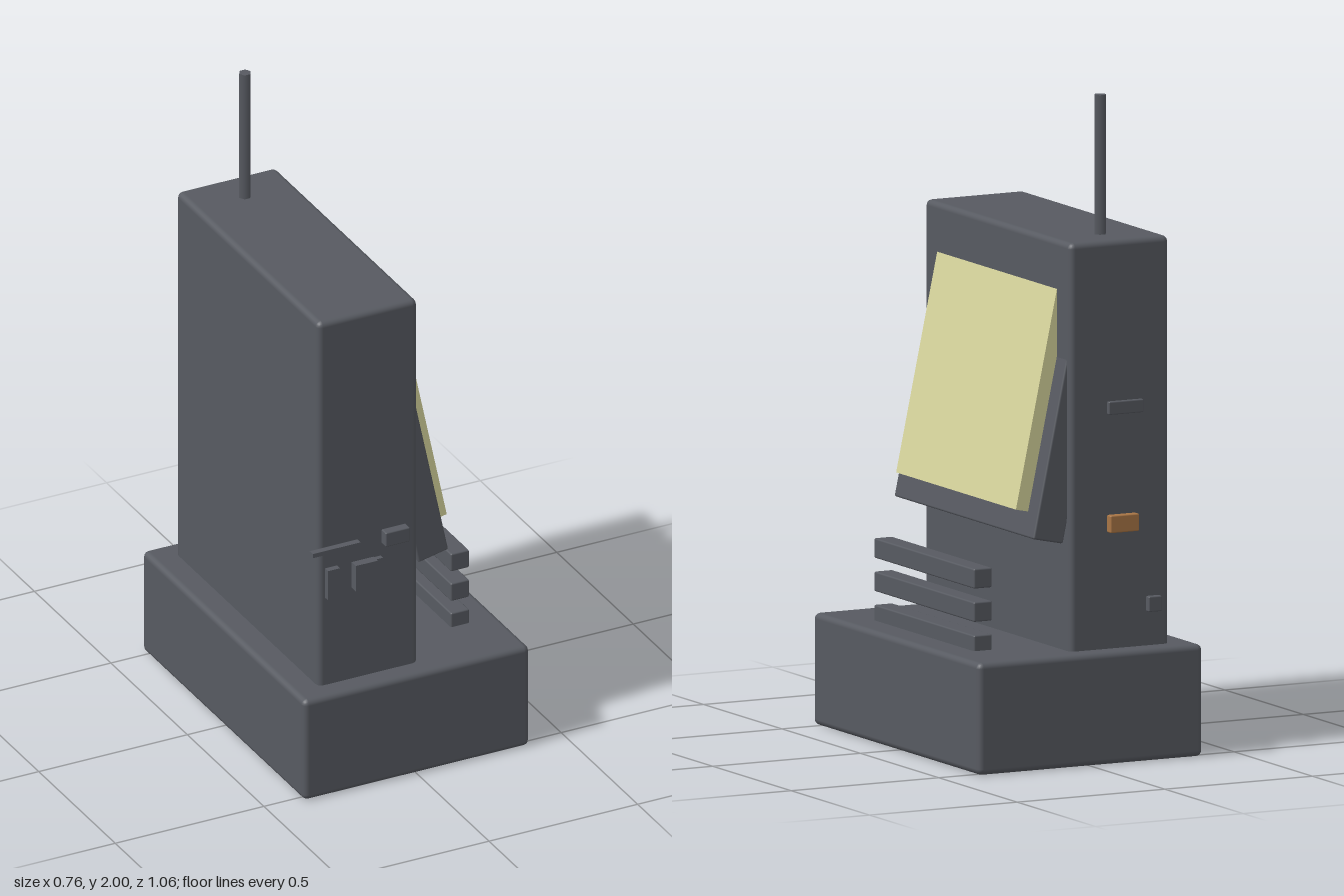
import * as THREE from 'three';
import { RoundedBoxGeometry } from 'three/addons/geometries/RoundedBoxGeometry.js';

export function createModel() {
  const model = new THREE.Group();
  model.name = 'deskTerminal';

  const mat = (name, color) => {
    const m = new THREE.MeshStandardMaterial({ color });
    m.name = name;
    return m;
  };
  const casing = mat('slate grey casing', 0x575a61);
  const glow = mat('pale yellow screen', 0xd8d69d);
  const amber = mat('amber button', 0xa87545);

  const add = (name, geometry, material, parent = model) => {
    const mesh = new THREE.Mesh(geometry, material);
    mesh.name = name;
    parent.add(mesh);
    return mesh;
  };

  // Box given by its limits on each axis, with an optional edge radius
  const block = (name, [x0, x1], [y0, y1], [z0, z1], radius = 0, material = casing, parent = model) => {
    const size = [x1 - x0, y1 - y0, z1 - z0];
    const geometry = radius
      ? new RoundedBoxGeometry(...size, 2, radius)
      : new THREE.BoxGeometry(...size);
    const mesh = add(name, geometry, material, parent);
    mesh.position.set((x0 + x1) / 2, (y0 + y1) / 2, (z0 + z1) / 2);
    return mesh;
  };

  // Plinth and upright cabinet
  block('base', [-0.38, 0.38], [0, 0.34], [-0.53, 0.53], 0.018);
  block('cabinet', [-0.298, 0.037], [0.3, 1.577], [-0.467, 0.463], 0.018);

  // Antenna, a six-sided rod with its corners towards the sides
  const antenna = add('antenna', new THREE.CylinderGeometry(0.019, 0.019, 0.5, 6), casing);
  antenna.geometry.rotateY(Math.PI / 6);
  antenna.material = casing;
  antenna.position.set(-0.13, 1.75, -0.343);

  // Tilted slabs, placed by their lower outer edge and sunk into the cabinet
  const slab = (name, [x, y], thickness, height, halfWidth, radius, material) => {
    const pivot = new THREE.Group();
    pivot.name = name + 'Mount';
    pivot.position.set(x, y, 0);
    pivot.rotation.z = 0.208;
    model.add(pivot);
    block(name, [-thickness, 0], [0, height], [-halfWidth, halfWidth], radius, material, pivot);
  };
  slab('bezel', [0.15, 0.687], 0.103, 0.64, 0.445, 0.006, casing);
  slab('screen', [0.176, 0.77], 0.042, 0.68, 0.382, 0, glow);

  // Three floating key rows
  for (let i = 0; i < 3; i++) {
    const y = 0.327 + i * 0.101;
    block('keyRow' + (i + 1), [0.223, 0.285], [y, y + 0.06], [-0.32, 0.318], 0.005);
  }

  // Fittings on the front face
  block('frontSwitch', [-0.275, -0.235], [0.638, 0.738], [0.45, 0.483]);
  block('frontSocket', [-0.186, -0.112], [0.65, 0.737], [0.45, 0.491]);
  block('frontSocketPlate', [-0.16, -0.088], [0.655, 0.735], [0.45, 0.479]);
  block('frontButton', [-0.085, -0.003], [0.775, 0.823], [0.45, 0.491], 0.004);
  block('frontLever', [-0.328, -0.167], [0.797, 0.811], [0.465, 0.486]);

  // Fittings on the rear face
  block('rearLatch', [-0.206, -0.088], [1.05, 1.09], [-0.479, -0.45], 0.004);
  block('rearAmberButton', [-0.185, -0.088], [0.693, 0.746], [-0.49, -0.45], 0.004, amber);
  block('rearSocket', [-0.265, -0.22], [0.443, 0.49], [-0.485, -0.45], 0.004);

  return model;
}
